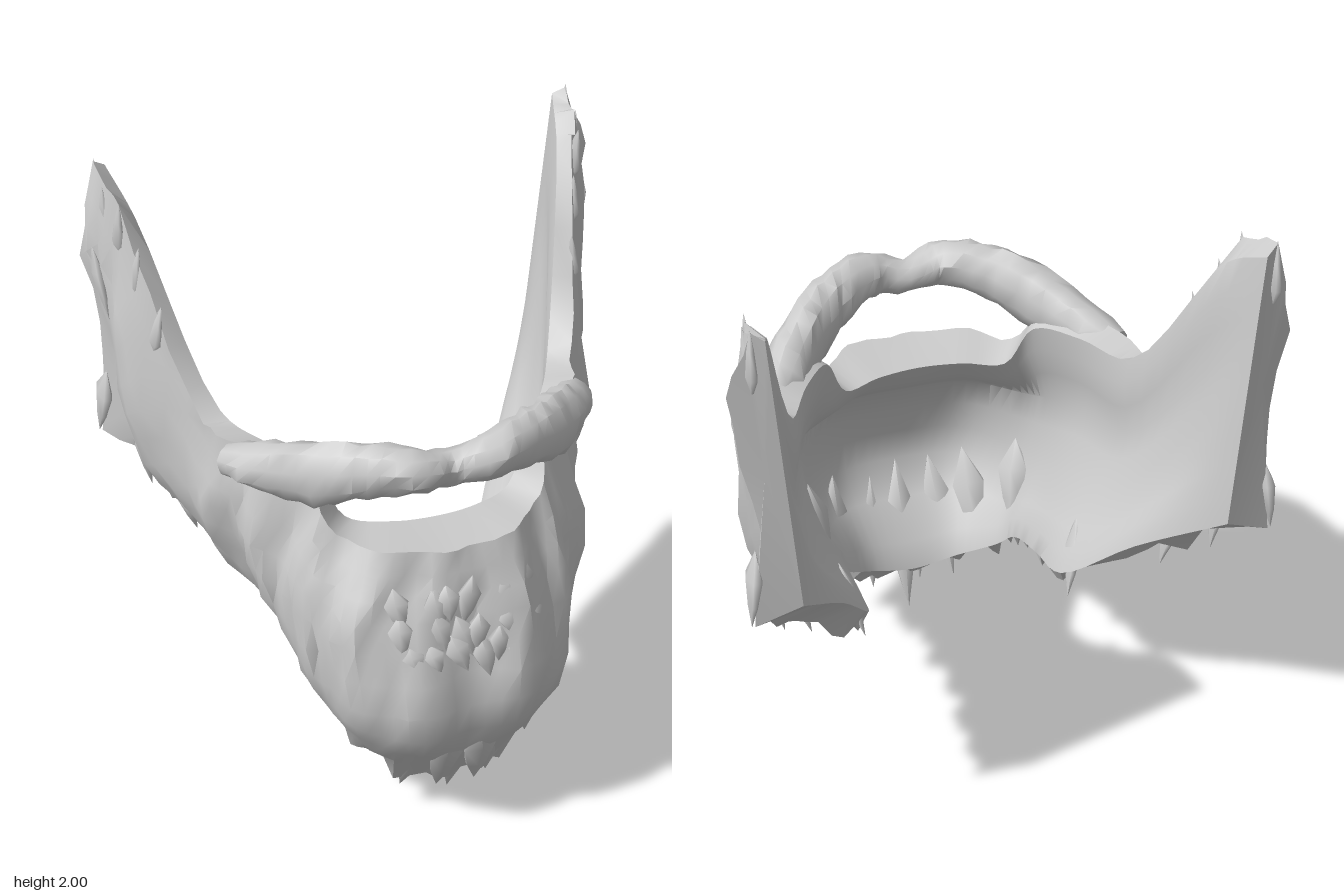
import * as THREE from 'three';
import { toCreasedNormals } from 'three/addons/utils/BufferGeometryUtils.js';

const V = (x, y, z) => new THREE.Vector3(x, y, z);
const rand = (n) => { const s = Math.sin(n * 127.1 + 11.7) * 43758.5453; return s - Math.floor(s); };

// Half of the beard, chin centre to ear. Each section holds four outer points
// from top to bottom, then the inner bottom and the inner top.
const SECTIONS = [
  [0, 1.09, .54, 0, .85, .625, 0, .5, .715, 0, .13, .49, 0, .16, .43, 0, 1.08, .34],
  [.2, 1.1, .52, .26, .85, .6, .25, .5, .67, .19, .17, .47, .16, .2, .41, .15, 1.08, .32],
  [.34, 1.11, .37, .43, .87, .44, .4, .5, .48, .3, .26, .35, .27, .3, .3, .28, 1.09, .26],
  [.42, 1.28, .26, .51, .92, .28, .45, .56, .3, .34, .35, .26, .31, .38, .22, .36, 1.25, .2],
  [.55, 1.31, .1, .58, .98, .1, .48, .64, .08, .36, .41, .06, .33, .43, .05, .47, 1.28, .05],
  [.64, 1.31, -.12, .68, 1, -.14, .56, .7, -.16, .38, .47, -.18, .34, .5, -.18, .57, 1.3, -.15],
  [.785, 1.88, -.5, .82, 1.35, -.46, .77, .98, -.45, .62, .72, -.44, .5, .76, -.44, .73, 1.85, -.52],
  [.82, 1.98, -.68, .88, 1.74, -.67, .82, 1.3, -.68, .85, .97, -.7, .7, 1, -.72, .78, 1.96, -.7],
];

// Closed skin over a grid of points: columns along x, each a ring.
function loft(cols, crease) {
  const n = cols[0].length, pos = [], index = [];
  cols.forEach((c) => c.forEach((p) => pos.push(p.x, p.y, p.z)));
  for (let i = 0; i < cols.length - 1; i++) {
    for (let j = 0; j < n; j++) {
      const k = (j + 1) % n, a = i * n + j, b = i * n + k;
      index.push(a, b, a + n, b, b + n, a + n);
    }
  }
  [0, cols.length - 1].forEach((i) => {
    const mid = cols[i].reduce((s, p) => s.add(p), V(0, 0, 0)).divideScalar(n);
    const m = pos.length / 3;
    pos.push(mid.x, mid.y, mid.z);
    for (let j = 0; j < n; j++) {
      const a = i * n + j, b = i * n + (j + 1) % n;
      index.push(m, i ? a : b, i ? b : a);
    }
  });
  const g = new THREE.BufferGeometry();
  g.setAttribute('position', new THREE.Float32BufferAttribute(pos, 3));
  g.setIndex(index);
  return toCreasedNormals(g, crease);
}

function beardGeometry() {
  const N = 70, OUT = 10, IN = 9;
  const all = [...SECTIONS.slice(1).reverse().map((s) => s.map((v, i) => (i % 3 ? v : -v))), ...SECTIONS];
  // One curve runs from ear to ear through each section point
  const rails = [0, 1, 2, 3, 4, 5].map((k) => new THREE.CatmullRomCurve3(
    all.map((s) => V(s[k * 3], s[k * 3 + 1], s[k * 3 + 2]))));
  const cols = [];
  for (let i = 0; i <= N; i++) {
    const p = rails.map((r) => r.getPoint(i / N)), fromMid = Math.abs(i - N / 2);
    const outer = new THREE.CatmullRomCurve3(p.slice(0, 4));
    const out = p[1].clone().sub(p[5]).setY(0).normalize();
    const ring = [];
    for (let j = 0; j <= OUT; j++) {
      const t = j / OUT, q = outer.getPoint(t);
      // Slanting locks of hair, ragged along both edges
      const wave = Math.sin(i * 1.15 + t * 3) * .016 + Math.sin(i * .57 - t * 5) * .016 + (rand(i * 31 + j) - .5) * .03;
      q.addScaledVector(out, wave * Math.sin(Math.PI * Math.min(1, t + .12)));
      if (j === OUT) q.y += (rand(i + 5) - .5) * .13;
      if (j === 0 && fromMid > 24) q.y += (rand(i + 90) - .5) * .08;
      ring.push(q);
    }
    // The inside is thick at the top rim, then follows the outside closely
    const thin = 1 - (fromMid / (N / 2)) ** 3;
    for (let j = 0; j <= IN; j++) {
      const t = 1 - j / IN, q = p[5].clone().lerp(p[4], t);
      const near = outer.getPoint(t).addScaledVector(out, -.06);
      q.lerp(near, thin * Math.min(1, t * 3) * Math.min(1, (1 - t) * 4));
      ring.push(q);
    }
    cols.push(ring);
  }
  return loft(cols, .7);
}

function moustacheGeometry() {
  // x, y, z, half height from the middle to the tip
  const half = [[0, 1.365, .48, .055], [.12, 1.39, .495, .072], [.25, 1.375, .43, .093],
    [.37, 1.325, .335, .115], [.49, 1.28, .19, .095], [.6, 1.24, .03, .05]];
  const all = [...half.slice(1).reverse().map(([x, ...r]) => [-x, ...r]), ...half];
  const path = new THREE.CatmullRomCurve3(all.map((a) => V(a[0], a[1], a[2])));
  const size = new THREE.CatmullRomCurve3(all.map((a) => V(a[0], a[3], 0)));
  const cols = [];
  for (let i = 0; i <= 36; i++) {
    const c = path.getPoint(i / 36), r = size.getPoint(i / 36).y, d = path.getTangent(i / 36);
    const side = V(-d.z, 0, d.x).normalize();
    cols.push(Array.from({ length: 10 }, (_, j) => {
      const a = j / 10 * Math.PI * 2, k = .9 + rand(i * 13 + j) * .2;
      return c.clone().addScaledVector(side, Math.sin(a) * k * Math.min(r * 1.1, .08)).add(V(0, Math.cos(a) * k * r, 0));
    }));
  }
  return loft(cols, .9);
}

export function createModel() {
  const model = new THREE.Group();
  const hair = new THREE.MeshStandardMaterial({ color: 0xcccccc });
  hair.name = 'pale grey hair';
  const add = (name, geometry, parent = model) => {
    const m = new THREE.Mesh(geometry, hair);
    m.name = name;
    parent.add(m);
    return m;
  };
  const group = (name) => {
    const g = new THREE.Group();
    g.name = name;
    model.add(g);
    return g;
  };
  // Leaf-shaped lock from root to tip, flat against the surface
  const lock = (name, root, tip, r, parent) => {
    const d = tip.clone().sub(root), h = d.length();
    const profile = [[0, 0], [r, h * .35], [r * .6, h * .7], [0, h]].map((p) => new THREE.Vector2(...p));
    const m = add(name, new THREE.LatheGeometry(profile, 6), parent);
    d.normalize();
    const across = d.clone().cross(V(root.x, 0, Math.max(root.z, 0))).normalize();
    m.quaternion.setFromRotationMatrix(new THREE.Matrix4().makeBasis(across, d, across.clone().cross(d)));
    m.position.copy(root);
    m.scale.z = .45;
  };

  add('beard', beardGeometry());
  add('moustache', moustacheGeometry());

  // Long pointed locks under the chin: root x, y, z and tip x, y, z
  const chin = group('chinLocks');
  [[0, .5, .65, .02, 0, .42], [-.12, .5, .64, -.16, .08, .45], [.1, .48, .64, .14, .08, .47],
    [.25, .52, .59, .3, .17, .42], [-.23, .55, .58, -.25, .21, .4], [-.38, .66, .42, -.33, .37, .31],
    [.39, .64, .4, .34, .32, .3], [.05, .46, .67, .08, .1, .52], [-.06, .46, .67, -.04, .07, .48]]
    .forEach((a) => lock('chinLock', V(a[0], a[1], a[2]), V(a[3], a[4], a[5]), .065, chin));

  // Locks along the jaw and the sideburn hairline, mirrored
  const jaw = group('jawLocks'), burn = group('sideburnLocks');
  [-1, 1].forEach((s) => {
    [[.42, .66, -.1, .36, .41, -.2], [.56, .85, -.26, .47, .62, -.32], [.67, .9, -.38, .6, .65, -.42],
      [.77, 1.08, -.5, .72, .78, -.55], [.83, 1.2, -.66, .86, .94, -.7]]
      .forEach((a) => lock('jawLock', V(s * a[0], a[1], a[2]), V(s * a[3], a[4], a[5]), .06, jaw));
    [[.74, 1.42, -.36, .71, 1.63, -.31], [.77, 1.58, -.46, .75, 1.8, -.41], [.79, 1.7, -.54, .79, 1.93, -.48],
      [.81, 1.72, -.62, .82, 1.95, -.58], [.82, 1.75, -.67, .82, 2, -.68], [.86, 1.72, -.62, .83, 1.46, -.55]]
      .forEach((a) => lock('sideburnLock', V(s * a[0], a[1], a[2]), V(s * a[3], a[4], a[5]), .045, burn));
  });

  // Short overlapping tufts below the lower lip
  const tufts = group('lipTufts');
  for (let i = 0; i < 18; i++) {
    const x = -.2 + (i % 6) * .08 + (rand(i + 3) - .5) * .05;
    const y = 1.01 - Math.floor(i / 6) * .09 - rand(i + 40) * .04, z = .585 - x * x * .5 + (1 - y) * .3;
    lock('lipTuft', V(x, y, z), V(x + (rand(i) - .5) * .1, y - .1 - rand(i + 7) * .06, z + .04), .045, tufts);
  }
  return model;
}
